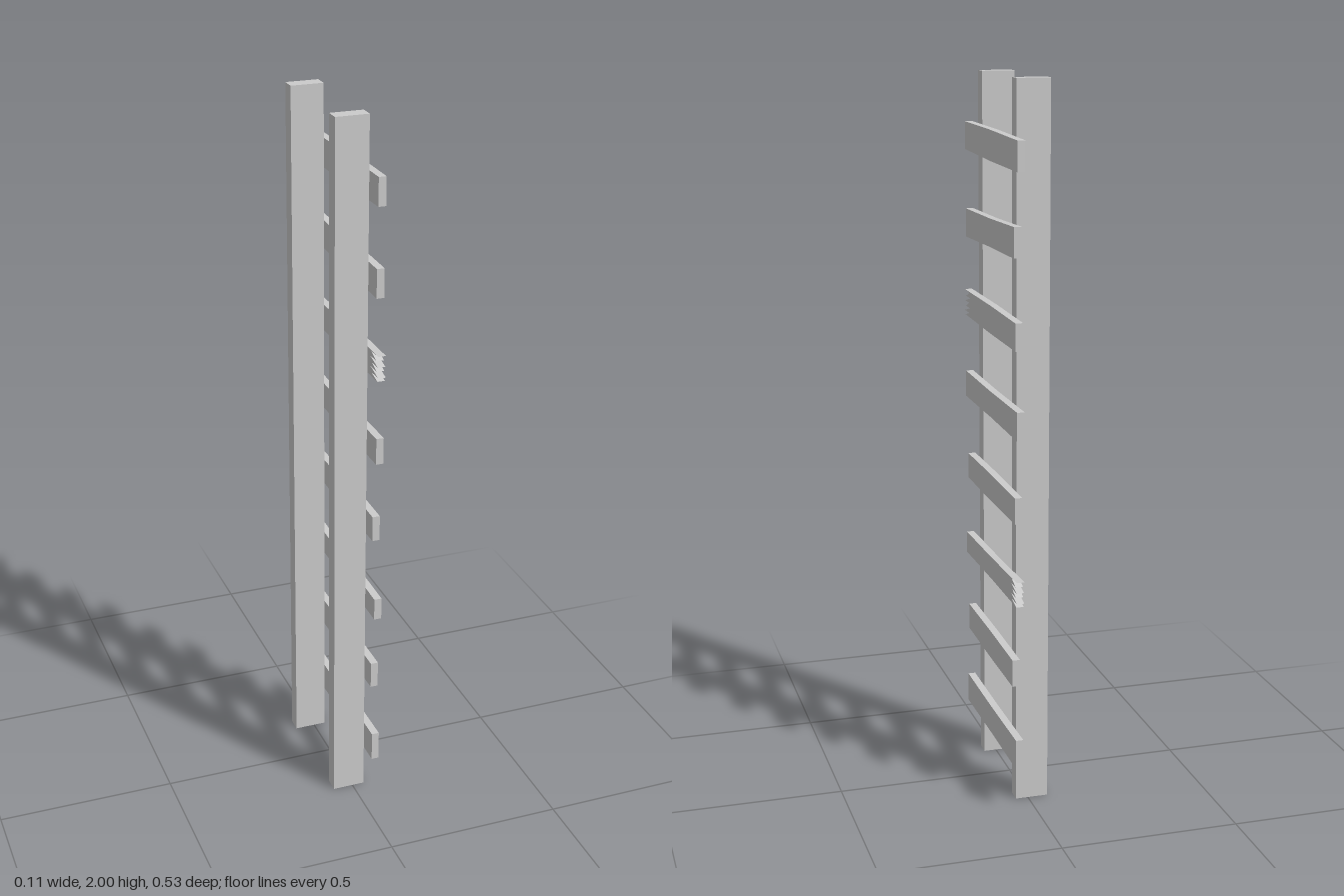
import * as THREE from 'three';

const material = new THREE.MeshStandardMaterial({ color: 0xcccccc, flatShading: true });

// Board ends: z, bottom y, top y at the +z end, then the same at the -z end.
const RUNGS = [
  { a: [0.254, 0.125, 0.21], b: [-0.255, 0.125, 0.21] },
  { a: [0.24, 0.362, 0.438], b: [-0.22, 0.356, 0.433] },
  { a: [0.26, 0.594, 0.657], b: [-0.262, 0.6, 0.672], split: 'b' },
  { a: [0.24, 0.83, 0.903], b: [-0.242, 0.83, 0.903] },
  { a: [0.26, 1.07, 1.145], b: [-0.262, 1.065, 1.143] },
  { a: [0.268, 1.31, 1.382], b: [-0.246, 1.303, 1.378], split: 'a' },
  { a: [0.25, 1.535, 1.615], b: [-0.23, 1.545, 1.627] },
  { a: [0.255, 1.78, 1.857], b: [-0.262, 1.77, 1.85] },
];

// Depths of the splinter tips and notches, from bottom to top
const SPLINTERS = [0.006, 0.05, 0.0, 0.055, 0.012, 0.045, 0.004, 0.06, 0.014, 0.05, 0.0];

// Points up one end of a board; u runs along -z
function endPoints([z, low, high], split) {
  const u = -z;
  if (!split) return [[u, low], [u, high]];
  const last = SPLINTERS.length - 1;
  return SPLINTERS.map((d, i) => [
    u - Math.sign(u) * d,
    low + (high - low) * (i / last) + (i > 0 && i < last ? (i % 2 ? 0.004 : -0.003) : 0),
  ]);
}

function createRung({ a, b, split }, index) {
  const sag = index % 2 ? 0.002 : -0.002;
  const points = [
    ...endPoints(b, split === 'b'),
    [0, (a[2] + b[2]) / 2 + sag],
    ...endPoints(a, split === 'a').reverse(),
    [0, (a[1] + b[1]) / 2 - sag],
  ];
  const shape = new THREE.Shape(points.map(([u, y]) => new THREE.Vector2(u, y)));
  const geometry = new THREE.ExtrudeGeometry(shape, { depth: 0.021, bevelEnabled: false });
  geometry.rotateY(Math.PI / 2);
  const rung = new THREE.Mesh(geometry, material);
  rung.position.x = 0.035;
  rung.name = split ? 'splinteredRung' : 'rung';
  return rung;
}

export function createModel() {
  const model = new THREE.Group();
  model.name = 'ladder';

  // Two upright rails
  for (const [name, z] of [['frontRail', 0.17], ['backRail', -0.162]]) {
    const rail = new THREE.Mesh(new THREE.BoxGeometry(0.092, 2, 0.042), material);
    rail.position.set(-0.011, 1, z);
    rail.name = name;
    model.add(rail);
  }

  // Uneven boards nailed across the rails
  RUNGS.forEach((rung, i) => model.add(createRung(rung, i)));
  return model;
}
